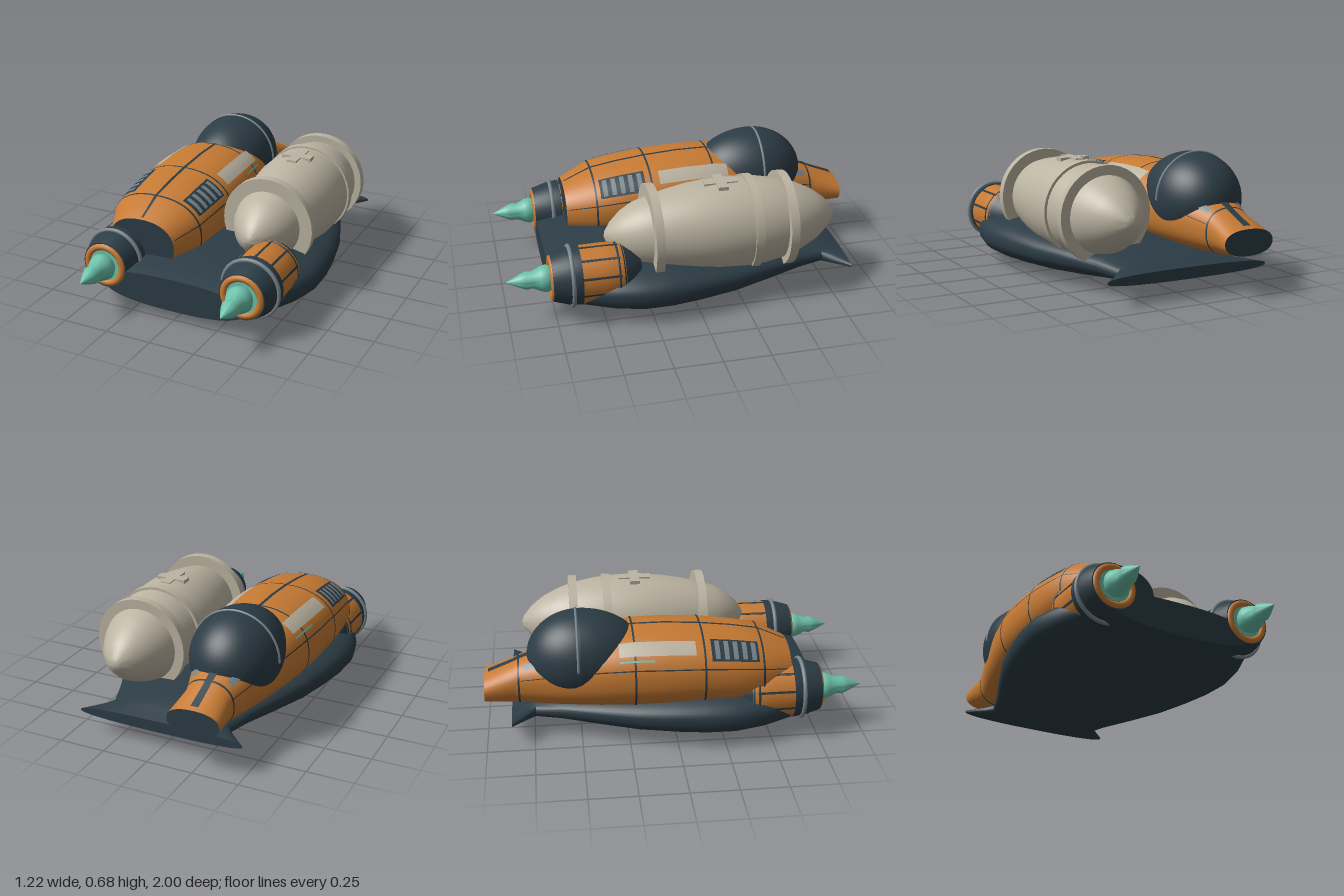
import * as THREE from 'three';
import { toCreasedNormals } from 'three/addons/utils/BufferGeometryUtils.js';

const mat = (name, color) => {
  const m = new THREE.MeshStandardMaterial({ color });
  m.name = name;
  return m;
};

// cross-sections: [z, halfWidth, widestY, topY, bottomY], front to back
const HULL = { x: 0, e: 2 / 2.5, s: [
  [0.765, 0.40, 0.15, 0.238, 0.058], [0.7, 0.45, 0.155, 0.255, 0.045], [0.6, 0.51, 0.16, 0.272, 0.03],
  [0.45, 0.575, 0.16, 0.295, 0.013], [0.3, 0.61, 0.16, 0.305, 0.003], [0.15, 0.605, 0.16, 0.302, 0],
  [0, 0.582, 0.16, 0.29, 0.004], [-0.2, 0.535, 0.155, 0.268, 0.014], [-0.4, 0.46, 0.15, 0.24, 0.03],
  [-0.6, 0.38, 0.14, 0.212, 0.052], [-0.74, 0.335, 0.125, 0.195, 0.068], [-0.78, 0.37, 0.122, 0.18, 0.075],
  [-0.865, 0.46, 0.125, 0.155, 0.095]] };
const BODY = { x: -0.26, e: 2 / 2.3, s: [
  [0.61, 0.19, 0.32, 0.457, 0.2], [0.45, 0.265, 0.34, 0.53, 0.18], [0.3, 0.28, 0.35, 0.556, 0.17],
  [0.14, 0.29, 0.36, 0.575, 0.17], [-0.05, 0.29, 0.36, 0.588, 0.17], [-0.22, 0.28, 0.36, 0.588, 0.17],
  [-0.4, 0.248, 0.35, 0.56, 0.17], [-0.6, 0.2, 0.33, 0.505, 0.175], [-0.82, 0.13, 0.305, 0.42, 0.185],
  [-0.85, 0.128, 0.3, 0.405, 0.187], [-1, 0.142, 0.278, 0.345, 0.21]] };

function sectionAt(loft, z) {
  const s = loft.s;
  let i = 0;
  while (i < s.length - 2 && z < s[i + 1][0]) i++;
  const t = (z - s[i][0]) / (s[i + 1][0] - s[i][0]);
  return s[i].map((v, k) => v + (s[i + 1][k] - v) * t);
}

function pointOn(loft, z, a, lift) {
  const [, w, yc, yt, yb] = sectionAt(loft, z);
  const c = Math.cos(a), n = Math.sin(a);
  const h = n > 0 ? yt - yc : yc - yb;
  const pw = (v) => Math.sign(v) * Math.abs(v) ** loft.e;
  return [loft.x + (w + lift) * pw(c), yc + (h + lift) * pw(n), z];
}

// skin of a loft between two depths (front first) and two angles in degrees
function skin(loft, z0, z1, a0 = 0, a1 = 360, lift = 0) {
  const zs = [z0, ...loft.s.map((r) => r[0]).filter((z) => z < z0 - 1e-4 && z > z1 + 1e-4), z1];
  const n = Math.max(2, Math.ceil((a1 - a0) / 5));
  const pos = [], idx = [];
  zs.forEach((z, i) => {
    for (let j = 0; j <= n; j++) {
      pos.push(...pointOn(loft, z, THREE.MathUtils.degToRad(a0 + (a1 - a0) * j / n), lift));
      if (i < zs.length - 1 && j < n) {
        const p = i * (n + 1) + j, q = p + n + 1;
        idx.push(p, q, p + 1, q, q + 1, p + 1);
      }
    }
  });
  const g = new THREE.BufferGeometry();
  g.setAttribute('position', new THREE.Float32BufferAttribute(pos, 3));
  g.setIndex(idx);
  return toCreasedNormals(g, 0.5);
}

// flat end of a loft
function endCap(loft, z, front) {
  const pos = [loft.x, sectionAt(loft, z)[2], z], idx = [];
  for (let j = 0; j <= 72; j++) {
    pos.push(...pointOn(loft, z, j / 72 * Math.PI * 2, 0));
    if (j < 72) idx.push(0, front ? j + 1 : j + 2, front ? j + 2 : j + 1);
  }
  const g = new THREE.BufferGeometry();
  g.setAttribute('position', new THREE.Float32BufferAttribute(pos, 3));
  g.setIndex(idx);
  g.computeVertexNormals();
  return g;
}

// lathe along z from [radius, z] pairs, back to front
const turned = (pts, seg = 40, crease = 0.5) => toCreasedNormals(
  new THREE.LatheGeometry(pts.map(([r, z]) => new THREE.Vector2(r, z)), seg).rotateX(Math.PI / 2), crease);

export function createModel() {
  const orange = mat('orange paint', 0xc67a33), dark = mat('dark slate', 0x2c3c45);
  const beige = mat('beige', 0xbcb4a2), teal = mat('teal glow', 0x6cc2aa), grey = mat('grey trim', 0x75848b);
  const root = new THREE.Group();
  const add = (name, geo, m, x = 0, y = 0, z = 0, parent = root) => {
    const mesh = new THREE.Mesh(geo, m);
    mesh.name = name;
    mesh.position.set(x, y, z);
    parent.add(mesh);
    return mesh;
  };

  // hull with flared tail
  add('hull', skin(HULL, 0.765, -0.865), dark);
  add('hullFront', endCap(HULL, 0.765, true), dark);
  add('hullTail', endCap(HULL, -0.865, false), dark);
  for (const a of [38, 139]) add('hullLight', skin(HULL, -0.03, -0.13, a, a + 3, 0.004), teal);

  // cabin body
  add('body', skin(BODY, 0.61, -1), orange);
  add('bodyFront', endCap(BODY, 0.61, true), dark);
  add('bodyTail', endCap(BODY, -1, false), dark);
  for (const z of [0.45, 0.14, -0.22, -0.82]) add('ringSeam', skin(BODY, z + 0.005, z - 0.005, 0, 360, 0.003), dark);
  for (const [a, w] of [[90, 1], [18, 0.8], [162, 0.8]])
    add('longSeam', skin(BODY, 0.6, -0.82, a - w, a + w, 0.003), dark);
  add('tailStrip', skin(BODY, -0.6, -0.98, 84, 96, 0.006), dark);

  // mirrored details on the body
  for (const side of [1, -1]) {
    const patch = (name, m, z0, z1, a0, a1, lift) =>
      add(name, side > 0 ? skin(BODY, z0, z1, a0, a1, lift) : skin(BODY, z0, z1, 180 - a1, 180 - a0, lift), m);
    patch('ventPanel', dark, 0.425, 0.175, 29, 61, 0.006);
    for (let i = 0; i < 5; i++) patch('ventSlat', grey, 0.41 - i * 0.048, 0.385 - i * 0.048, 32, 58, 0.01);
    patch('paleStripe', beige, 0.095, -0.3, 37, 57, 0.006);
    patch('sideLight', teal, -0.12, -0.3, 29, 31.5, 0.006);
    patch('tailWindow', grey, -0.68, -0.79, 42, 58, 0.006);
  }

  // cockpit dome: longer towards the front
  const dome = new THREE.SphereGeometry(1, 48, 32);
  const p = dome.attributes.position;
  for (let i = 0; i < p.count; i++)
    p.setXYZ(i, p.getX(i) * 0.237, p.getY(i) * 0.242, p.getZ(i) * (p.getZ(i) > 0 ? 0.34 : 0.28));
  dome.computeVertexNormals();
  add('dome', dome, dark, -0.26, 0.43, -0.495);
  add('domeRing', new THREE.TorusGeometry(0.238, 0.007, 8, 48, Math.PI), grey, -0.26, 0.433, -0.51);

  // cargo pod with bands and raised cross
  const pod = new THREE.Group();
  pod.name = 'cargoPod';
  pod.position.set(0.285, 0.385, 0);
  root.add(pod);
  add('podShell', turned([[0, -0.805], [0.035, -0.79], [0.09, -0.745], [0.14, -0.68], [0.185, -0.59], [0.215, -0.5],
    [0.238, -0.38], [0.249, -0.25], [0.249, -0.12], [0.236, 0], [0.216, 0.11], [0.192, 0.21], [0.165, 0.3],
    [0.125, 0.37], [0.07, 0.43], [0.025, 0.46], [0, 0.468]], 48, 0.9), beige, 0, 0, 0, pod);
  for (const z of [0.21, -0.32, -0.51])
    add('podBand', turned([[0.12, z - 0.023], [0.255, z - 0.023], [0.255, z + 0.023], [0.12, z + 0.023]], 40), beige, 0, 0, 0, pod);
  add('crossLong', new THREE.BoxGeometry(0.055, 0.03, 0.18), beige, 0, 0.239, -0.16, pod);
  add('crossWide', new THREE.BoxGeometry(0.165, 0.03, 0.055), beige, 0, 0.239, -0.16, pod);

  // pair of thrusters
  for (const side of [1, -1]) {
    const t = new THREE.Group();
    t.name = side > 0 ? 'leftThruster' : 'rightThruster';
    t.position.set(side * 0.395, 0.235, 0);
    root.add(t);
    const part = (name, geo, m, z = 0) => add(name, geo, m, 0, 0, z, t);
    part('rearCap', turned([[0, 0.28], [0.08, 0.3], [0.12, 0.345], [0.15, 0.4]]), dark);
    part('barrel', turned([[0.145, 0.39], [0.153, 0.41], [0.155, 0.5], [0.153, 0.62], [0.14, 0.625]]), orange);
    part('collar', turned([[0.13, 0.61], [0.158, 0.615], [0.156, 0.64], [0.148, 0.69], [0.125, 0.765], [0.08, 0.766]]), dark);
    part('greyRing', new THREE.TorusGeometry(0.156, 0.011, 10, 40), grey, 0.665);
    part('lip', new THREE.TorusGeometry(0.102, 0.02, 12, 40), orange, 0.757);
    part('glow', new THREE.CircleGeometry(0.085, 32), teal, 0.768);
    part('flame', turned([[0.062, 0.765], [0.073, 0.79], [0.065, 0.82], [0.044, 0.865], [0.048, 0.895], [0.034, 0.93], [0, 1]], 32, 0.9), teal);
    part('barrelRing', new THREE.TorusGeometry(0.152, 0.006, 8, 40), dark, 0.425);
    for (let i = 0; i < 10; i++) {
      const a = (i + 0.5) / 10 * Math.PI * 2;
      const seam = add('barrelSeam', new THREE.BoxGeometry(0.008, 0.012, 0.2), dark,
        Math.cos(a) * 0.152, Math.sin(a) * 0.152, 0.515, t);
      seam.rotation.z = a;
    }
  }
  return root;
}
